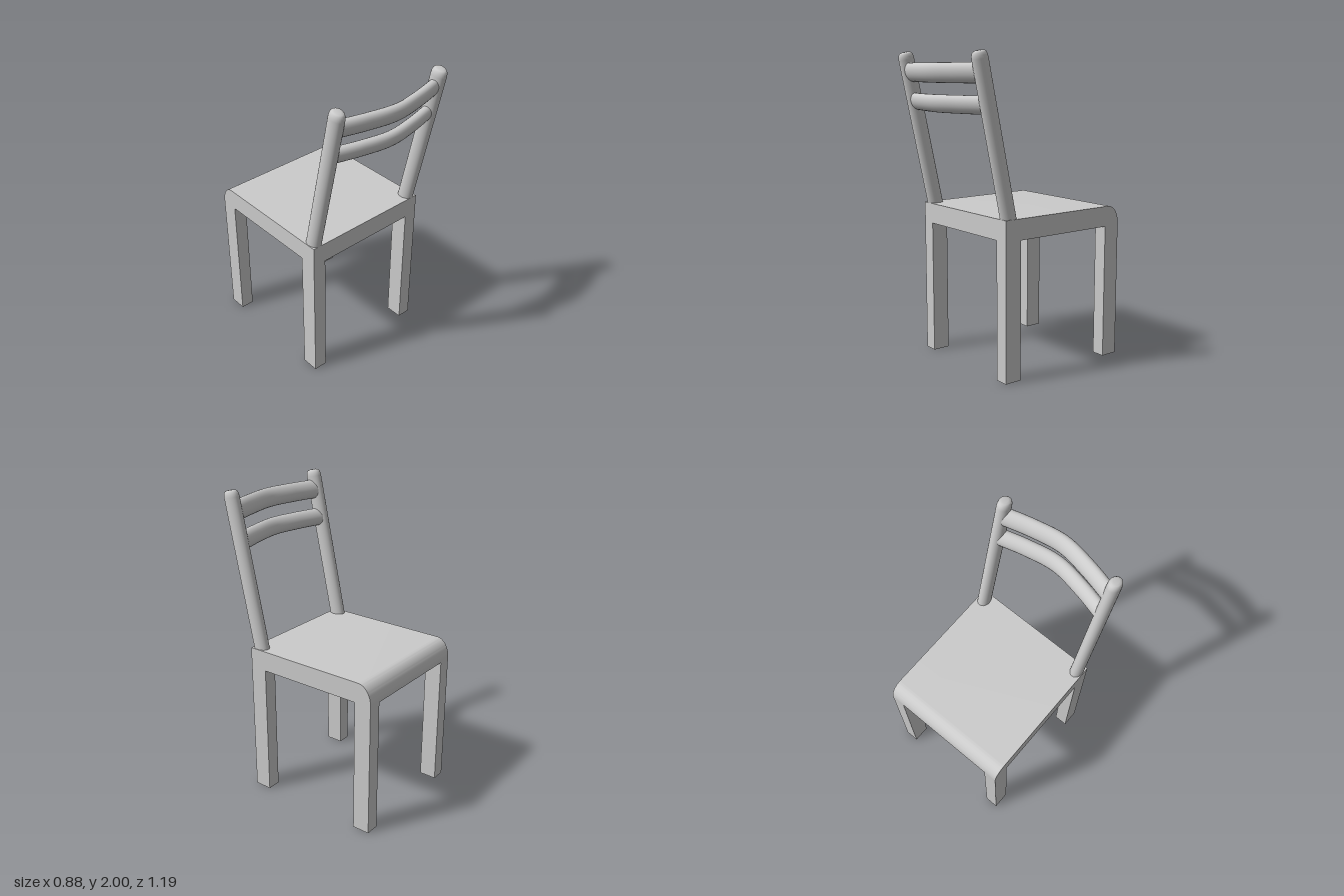
import * as THREE from 'three';
import { toCreasedNormals } from 'three/addons/utils/BufferGeometryUtils.js';

const material = new THREE.MeshStandardMaterial({ color: 0xcccccc, side: THREE.DoubleSide });

const HALF_W = 0.44, FRONT = -0.595, BACK = 0.34;
const SEAT_BOTTOM = 0.88, SEAT_TOP = 1.012;
const LEAN = 0.212; // backward tilt of the backrest

function add(group, name, geometry) {
  const mesh = new THREE.Mesh(geometry, material);
  mesh.name = name;
  group.add(mesh);
  return mesh;
}

// Thick slab whose front top edge is rolled over
function seatGeometry() {
  const s = new THREE.Shape();
  s.moveTo(BACK, SEAT_BOTTOM);
  s.lineTo(BACK, SEAT_TOP);
  s.lineTo(FRONT + 0.09, SEAT_TOP);
  s.absellipse(FRONT + 0.09, SEAT_TOP - 0.12, 0.09, 0.12, Math.PI / 2, Math.PI, false);
  s.lineTo(FRONT, SEAT_BOTTOM);
  s.closePath();
  const g = new THREE.ExtrudeGeometry(s, { depth: HALF_W * 2, bevelEnabled: false, curveSegments: 10 });
  g.translate(0, 0, -HALF_W);
  g.rotateY(-Math.PI / 2);
  return toCreasedNormals(g, 0.6);
}

// Oval leaning post with a softly domed top
function postGeometry() {
  const L = 1.008;
  const profile = [[1, -0.06], [1, L - 0.045], [0.96, L - 0.027], [0.86, L - 0.012], [0.7, L - 0.004], [0.4, L], [0, L]]
    .map(([r, y]) => new THREE.Vector2(r, y));
  const g = new THREE.LatheGeometry(profile, 28);
  g.scale(0.042, 1, 0.0525);
  g.rotateX(LEAN);
  return g;
}

// Bowed oval rail, sheared to follow the lean of the posts
function railGeometry(halfHeight, halfDepth) {
  const bow = [[-0.395, -0.005], [-0.2, 0.046], [0, 0.077], [0.2, 0.046], [0.395, -0.005]]
    .map(([x, z]) => new THREE.Vector3(x, 0, z));
  const g = new THREE.TubeGeometry(new THREE.CatmullRomCurve3(bow), 32, halfDepth, 24);
  g.scale(1, halfHeight / halfDepth, 1);
  g.applyMatrix4(new THREE.Matrix4().set(
    1, 0, 0, 0,
    0, 1, 0, 0,
    0, Math.tan(LEAN), 1, 0,
    0, 0, 0, 1));
  return g;
}

export function createModel() {
  const chair = new THREE.Group();
  chair.name = 'chair';

  add(chair, 'seat', seatGeometry());

  for (const [side, sx] of [['left', 1], ['right', -1]]) {
    // Square legs, flush with the seat corners
    for (const [end, z] of [['Front', FRONT + 0.0575], ['Back', BACK - 0.0575]]) {
      const leg = add(chair, `${side}${end}Leg`, new THREE.BoxGeometry(0.09, SEAT_BOTTOM, 0.115));
      leg.position.set(sx * (HALF_W - 0.045), SEAT_BOTTOM / 2, z);
    }
    // Backrest posts
    add(chair, `${side}Post`, postGeometry()).position.set(sx * 0.395, 1.01, 0.287);
  }

  // Backrest rails: height, half height, half depth
  for (const [name, y, hh, hd] of [['upperRail', 1.87, 0.06, 0.042], ['lowerRail', 1.686, 0.055, 0.042]]) {
    add(chair, name, railGeometry(hh, hd)).position.set(0, y, 0.287 + (y - 1.01) * Math.tan(LEAN));
  }

  return chair;
}
